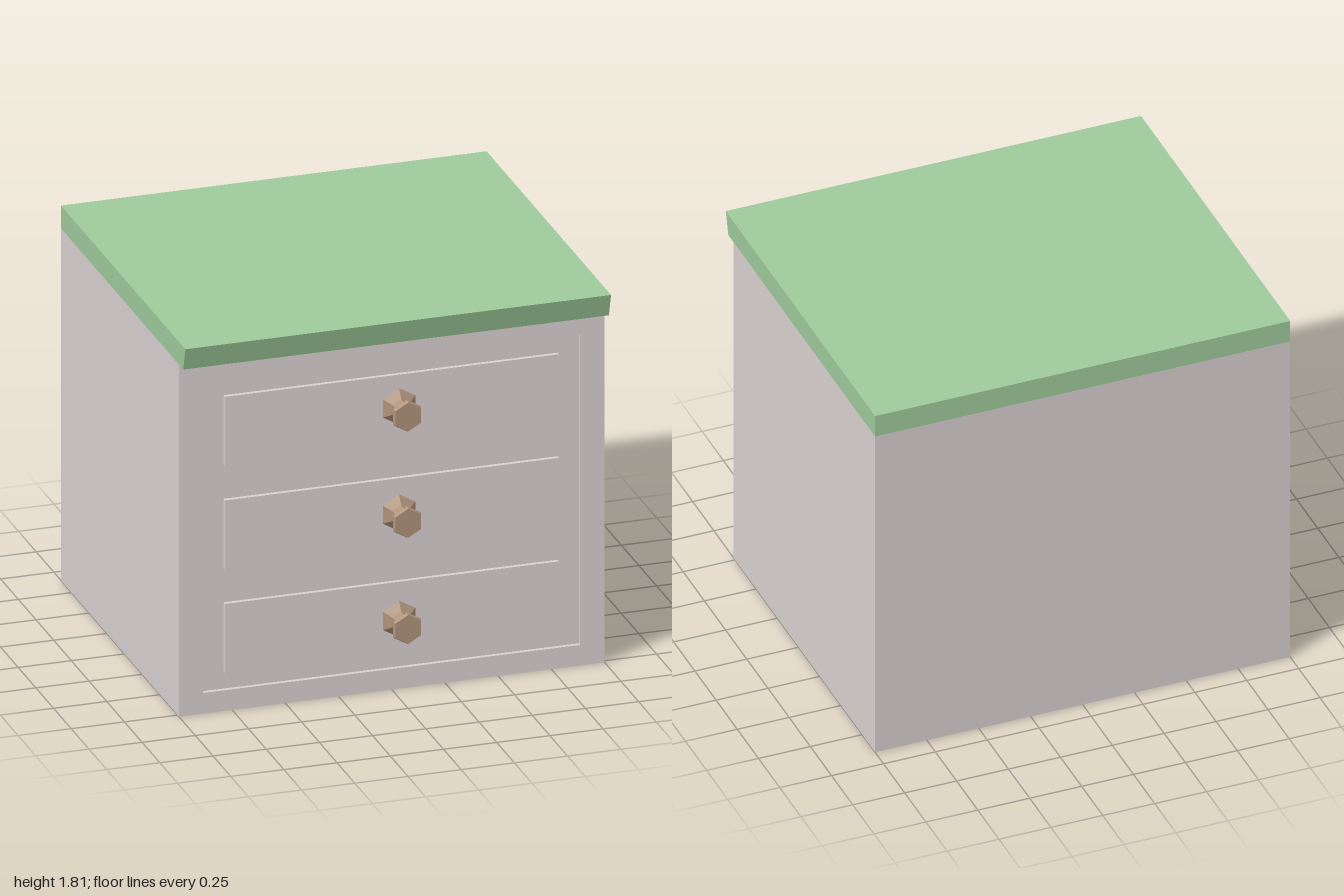
import * as THREE from 'three';

const material = (color) => new THREE.MeshStandardMaterial({ color, flatShading: true });

// Rectangle path given by its edges
function rect(path, x0, y0, x1, y1) {
  path.moveTo(x0, y0);
  path.lineTo(x1, y0);
  path.lineTo(x1, y1);
  path.lineTo(x0, y1);
  path.closePath();
  return path;
}

export function createModel() {
  const group = new THREE.Group();
  const wood = material(0xd9d2d1);
  const green = material(0x9fcb9c);
  const brown = material(0xb0947b);

  const add = (name, geometry, mat, x = 0, y = 0, z = 0) => {
    const mesh = new THREE.Mesh(geometry, mat);
    mesh.name = name;
    mesh.position.set(x, y, z);
    group.add(mesh);
    return mesh;
  };

  const back = -0.9, front = 0.77, recess = 0.02, height = 1.7;
  const panel = front - recess;

  // Cabinet body, ending at the recessed front panel
  add('body', new THREE.BoxGeometry(2, height, panel - back), wood, 0, height / 2, (panel + back) / 2);

  // Border around the recessed panel
  const frame = rect(new THREE.Shape(), -1, 0, 1, height);
  frame.holes.push(rect(new THREE.Path(), -0.885, 0.1, 0.885, 1.6));
  add('frontFrame', new THREE.ExtrudeGeometry(frame, { depth: recess, bevelEnabled: false }), wood, 0, 0, panel);

  // Top slab with a slanted front lip: side profile (z, y) swept along x
  const profile = new THREE.Shape([
    [back, height], [0.83, height], [0.86, 1.81], [back, 1.81],
  ].map(([z, y]) => new THREE.Vector2(z, y)));
  const top = new THREE.ExtrudeGeometry(profile, { depth: 2, bevelEnabled: false });
  top.rotateY(-Math.PI / 2);
  add('top', top, green, 1);

  // Three drawers, each with a six-sided knob slightly off centre
  const knob = new THREE.LatheGeometry([
    [0.088, 0], [0.047, 0.03], [0.047, 0.077], [0.076, 0.113], [0.07, 0.13], [0, 0.13],
  ].map(([r, h]) => new THREE.Vector2(r, h)), 6);
  knob.rotateX(Math.PI / 2);

  for (let i = 0; i < 3; i++) {
    add('drawer', new THREE.BoxGeometry(1.57, 0.333, recess), wood, 0, 0.35 + i * 0.5, panel + recess / 2);
    add('knob', knob, brown, 0.034, 0.337 + i * 0.513, front);
  }
  return group;
}
